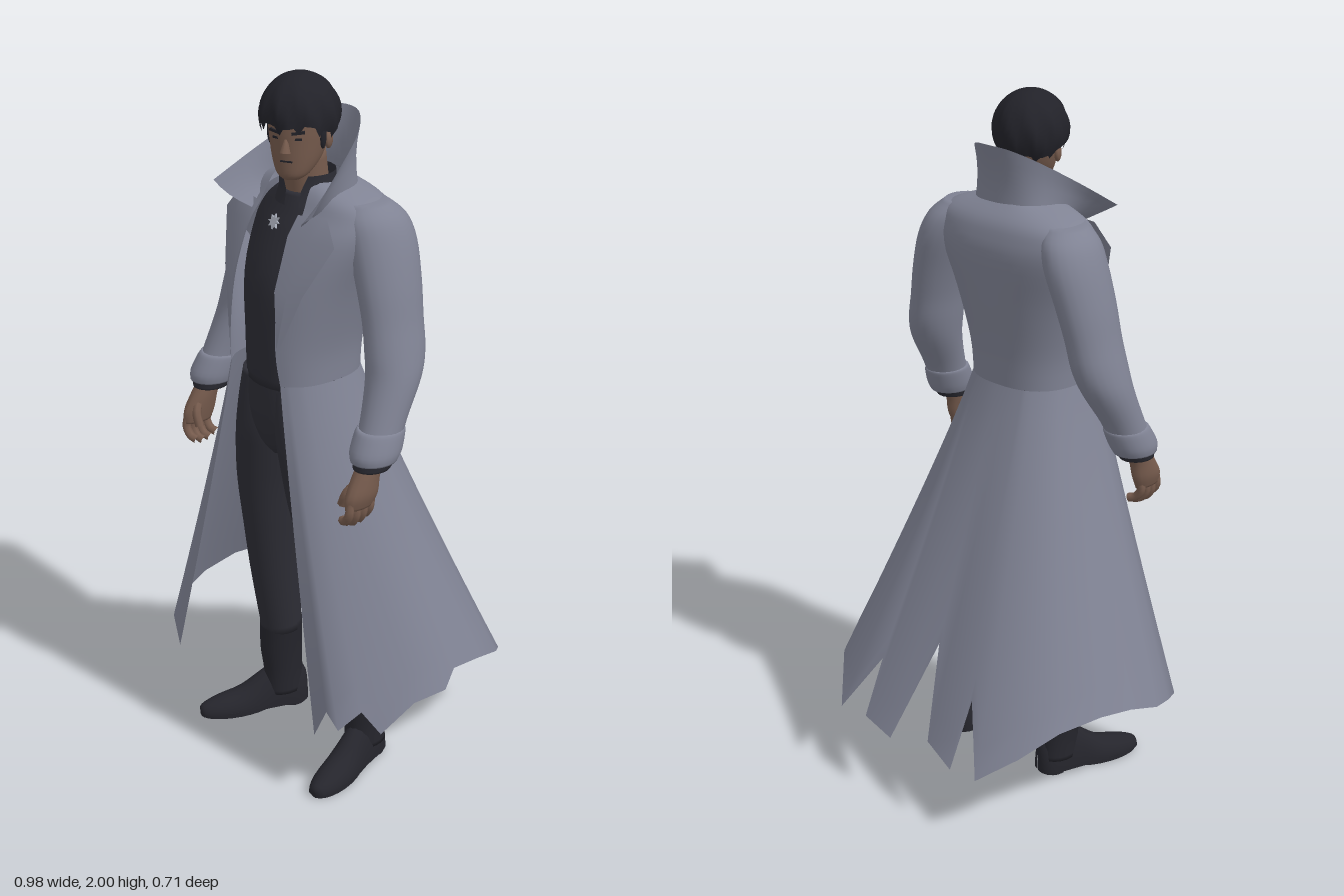
import * as THREE from 'three';

const material = (name, color, side = THREE.FrontSide) => {
  const m = new THREE.MeshStandardMaterial({ color, side });
  m.name = name;
  return m;
};
const V = (x, y, z) => new THREE.Vector3(x, y, z);
const CX = 0.02; // centre line of the upper body

// Catmull-Rom resampling of rows of numbers
function smooth(keys, steps) {
  const at = i => keys[Math.min(keys.length - 1, Math.max(0, i))];
  const out = [];
  for (let i = 0; i < keys.length - 1; i++) {
    for (let s = 0; s < steps; s++) {
      const t = s / steps;
      out.push(keys[i].map((_, k) => {
        const a = at(i - 1)[k], b = at(i)[k], c = at(i + 1)[k], d = at(i + 2)[k];
        return b + 0.5 * t * (c - a + t * (2 * a - 5 * b + 4 * c - d + t * (3 * (b - c) + d - a)));
      }));
    }
  }
  out.push(at(keys.length - 1));
  return out;
}

// Skin over rows of points; closed rows wrap around
function loft(rows, closed) {
  const n = rows[0].length, index = [];
  for (let r = 0; r < rows.length - 1; r++) {
    for (let i = 0; i < (closed ? n : n - 1); i++) {
      const j = (i + 1) % n, a = r * n + i, b = r * n + j;
      index.push(a, a + n, b, b, a + n, b + n);
    }
  }
  const g = new THREE.BufferGeometry().setFromPoints(rows.flat());
  g.setIndex(index);
  g.computeVertexNormals();
  return g;
}

// Rounded body from horizontal ellipses [x, y, z, rx, rz]
function limb(keys, segs = 20, steps = 4) {
  const rows = smooth([...keys].sort((a, b) => a[1] - b[1]), steps);
  const end = k => [k[0], k[1], k[2], 0.0005, 0.0005];
  const all = [end(rows[0]), ...rows, end(rows[rows.length - 1])];
  return loft(all.map(([x, y, z, rx, rz]) => Array.from({ length: segs }, (_, i) => {
    const a = i / segs * Math.PI * 2;
    return V(x + Math.max(rx, 0.0005) * Math.cos(a), y, z + Math.max(rz, 0.0005) * Math.sin(a));
  })), true);
}

export function createModel() {
  const model = new THREE.Group();
  const coatMat = material('coat grey', 0x808394, THREE.DoubleSide);
  const shirtMat = material('shirt charcoal', 0x2c2c34, THREE.DoubleSide);
  const trouserMat = material('trouser charcoal', 0x2e2e36);
  const bootMat = material('boot black', 0x25252c);
  const hairMat = material('hair black', 0x222229, THREE.DoubleSide);
  const skinMat = material('skin brown', 0x765b4d);
  const metalMat = material('silver', 0xa4a9b5);
  const add = (name, geo, mat, parent = model) => {
    const m = new THREE.Mesh(geo, mat);
    m.name = name;
    parent.add(m);
    return m;
  };

  // Coat body: open C-shaped rows [y, half width, back z, front z, half opening]
  const coatKeys = [
    [1.2, 0.165, 0.03, 0.35, 0.105], [1.3, 0.172, 0.022, 0.35, 0.095], [1.45, 0.205, -0.003, 0.328, 0.09],
    [1.58, 0.245, -0.022, 0.278, 0.09], [1.645, 0.245, -0.014, 0.235, 0.085],
    [1.685, 0.21, 0.005, 0.215, 0.08], [1.72, 0.1, 0.045, 0.2, 0.075]];
  const power = v => Math.sign(v) * Math.abs(v) ** 0.8;
  const coatPoint = ([y, w, zb, zf, open], u) => {
    const start = Math.asin((open / w) ** 1.25);
    const a = start + u * (Math.PI * 2 - 2 * start);
    return V(CX - w * power(Math.sin(a)), y, (zb + zf) / 2 + (zf - zb) / 2 * power(Math.cos(a)));
  };
  const body = smooth(coatKeys, 4).map(k => Array.from({ length: 41 }, (_, i) => coatPoint(k, i / 40)));
  add('coatBody', loft(body, false), coatMat);

  // Coat skirt: straight columns from the waist to a torn hem, right front round to left front
  const hem = [
    [-0.35, 0.2, 0.345], [-0.42, 0.26, 0.315], [-0.47, 0.3, 0.22], [-0.49, 0.32, 0.14], [-0.475, 0.35, 0.04],
    [-0.45, 0.36, -0.06], [-0.4, 0.34, -0.18], [-0.33, 0.27, -0.27], [-0.24, 0.2, -0.35],
    [-0.147, 0.38, -0.26], [-0.15, 0.2, -0.355], [-0.035, 0.23, -0.325], [0.02, 0.48, -0.215],
    [0.09, 0.2, -0.35], [0.205, 0.22, -0.335], [0.205, 0.38, -0.26], [0.295, 0.22, -0.345],
    [0.41, 0.31, -0.22], [0.46, 0.36, -0.1], [0.467, 0.37, 0], [0.487, 0.33, 0.05], [0.47, 0.32, 0.15],
    [0.435, 0.24, 0.24], [0.4, 0.31, 0.28], [0.37, 0.26, 0.338], [0.325, 0.3, 0.342], [0.285, 0.21, 0.352]];
  const angles = hem.map(([x, , z]) => (Math.atan2(-x, z - 0.1) + Math.PI * 2) % (Math.PI * 2));
  const first = angles[0], span = angles[angles.length - 1] - first;
  const skirt = [];
  for (let r = 0; r <= 12; r++) {
    const t = 1 - r / 12;
    skirt.push(hem.map(([x, y, z], i) => {
      const top = coatPoint(coatKeys[0], (angles[i] - first) / span);
      const out = t ** 1.08;
      return V(top.x + (x - top.x) * out, top.y + (y - top.y) * t, top.z + (z - top.z) * out);
    }));
  }
  add('coatSkirt', loft(skirt, false), coatMat);

  // Raised collar, mirrored from its right half
  const NX = 0.036;
  const mirrorRow = pts => [...pts, ...pts.slice(0, -1).reverse().map(([x, y, z]) => [2 * NX - x, y, z])];
  const collarTop = smooth(mirrorRow([[-0.165, 1.69, 0.31], [-0.125, 1.765, 0.2], [-0.08, 1.835, 0.09], [-0.025, 1.872, 0.03], [NX, 1.88, 0.012]]), 4);
  const collarBase = smooth(mirrorRow([[-0.065, 1.63, 0.262], [-0.09, 1.675, 0.19], [-0.085, 1.69, 0.1], [-0.045, 1.69, 0.055], [NX, 1.69, 0.04]]), 4);
  const collarRows = [0, 0.25, 0.5, 0.75, 1].map(t => collarBase.map((b, i) => {
    const p = V(...b).lerp(V(...collarTop[i]), t);
    p.z += 0.012 * Math.sin(t * Math.PI);
    return p;
  }));
  add('collar', loft(collarRows, false), coatMat);

  // Left and right parts
  for (const s of [1, -1]) {
    const side = s > 0 ? 'left' : 'right';
    const X = o => CX + s * o;

    // Lapel folded over the chest
    const inner = [[0.085, 1.65, 0.245], [0.082, 1.6, 0.278], [0.087, 1.46, 0.328], [0.098, 1.31, 0.333]];
    const middle = [[0.13, 1.655, 0.24], [0.155, 1.6, 0.268], [0.125, 1.46, 0.318], [0.101, 1.305, 0.334]];
    const outer = [[0.175, 1.66, 0.225], [0.222, 1.595, 0.24], [0.162, 1.46, 0.296], [0.105, 1.3, 0.332]];
    add(side + 'Lapel', loft([inner, middle, outer].map(row => row.map(([x, y, z]) => V(X(x), y, z))), false), coatMat);

    // Sleeve, cuff and torn lining
    add(side + 'Sleeve', limb([
      [X(0.345), 1.06, 0.205, 0.054, 0.064], [X(0.335), 1.14, 0.17, 0.057, 0.064], [X(0.318), 1.24, 0.122, 0.067, 0.078],
      [X(0.303), 1.31, 0.104, 0.068, 0.088], [X(0.285), 1.39, 0.096, 0.066, 0.09], [X(0.262), 1.48, 0.09, 0.07, 0.096],
      [X(0.23), 1.58, 0.085, 0.074, 0.1], [X(0.205), 1.645, 0.09, 0.07, 0.09], [X(0.18), 1.685, 0.1, 0.055, 0.06]], 22), coatMat);
    add(side + 'Cuff', limb([
      [X(0.347), 1.045, 0.212, 0.057, 0.066], [X(0.345), 1.07, 0.204, 0.062, 0.074],
      [X(0.338), 1.115, 0.184, 0.06, 0.071], [X(0.336), 1.125, 0.18, 0.055, 0.064]], 22), coatMat);
    add(side + 'CuffLining', limb([[X(0.347), 1.025, 0.22, 0.046, 0.052], [X(0.347), 1.05, 0.21, 0.053, 0.062]], 22), shirtMat);

    // Hand with curled fingers
    const hand = new THREE.Group();
    hand.name = side + 'Hand';
    model.add(hand);
    add('palm', limb([
      [X(0.35), 0.925, 0.266, 0.02, 0.045], [X(0.352), 0.96, 0.258, 0.028, 0.052],
      [X(0.349), 1.005, 0.242, 0.03, 0.042], [X(0.347), 1.05, 0.22, 0.029, 0.034]], 14), skinMat, hand);
    const finger = (name, pts, r) => add(name, new THREE.TubeGeometry(
      new THREE.CatmullRomCurve3(pts.map(p => V(X(p[0]), p[1], p[2]))), 8, r, 7), skinMat, hand);
    for (let i = 0; i < 4; i++) {
      const z = 0.23 + i * 0.023, drop = [0.012, 0.002, 0, 0.008][i];
      finger('finger', [[0.354, 0.945, z], [0.355, 0.905 + drop, z + 0.004], [0.338, 0.88 + drop, z + 0.002], [0.318, 0.874 + drop, z - 0.004]], 0.0125);
    }
    finger('thumb', [[0.345, 0.995, 0.262], [0.325, 0.96, 0.288], [0.31, 0.925, 0.29]], 0.013);

    // Trouser leg, with x at the hip, thigh, knee, shin and ankle
    const [hip, thigh, knee, shin, ankle] = s > 0
      ? [0.095, 0.115, 0.165, 0.198, 0.208] : [-0.078, -0.112, -0.135, -0.153, -0.162];
    add(side + 'TrouserLeg', limb([
      [shin, 0.27, 0.115, 0.054, 0.062], [(knee + shin) / 2, 0.4, 0.135, 0.06, 0.07], [knee, 0.52, 0.155, 0.065, 0.074],
      [(thigh + knee) / 2, 0.66, 0.17, 0.073, 0.084], [thigh, 0.8, 0.18, 0.084, 0.097], [(hip + thigh) / 2, 0.91, 0.184, 0.091, 0.108],
      [hip, 1.0, 0.185, 0.092, 0.117], [hip * 0.85, 1.09, 0.185, 0.085, 0.117], [hip * 0.7, 1.18, 0.185, 0.075, 0.112]]), trouserMat);

    // Boot: shaft, foot, sole and heel
    add(side + 'BootShaft', limb([
      [ankle, 0.05, 0.1, 0.05, 0.064], [ankle, 0.12, 0.104, 0.05, 0.062], [ankle, 0.2, 0.11, 0.055, 0.066], [shin, 0.3, 0.116, 0.057, 0.065]]), bootMat);
    const boot = new THREE.Group();
    boot.name = side + 'Boot';
    boot.position.set(ankle, 0, 0.1);
    boot.rotation.y = s * (s > 0 ? 0.3 : 0.36);
    model.add(boot);
    const shape = smooth([
      [0.265, 0.004, 0.012], [0.255, 0.026, 0.028], [0.205, 0.045, 0.046], [0.13, 0.051, 0.066],
      [0.06, 0.046, 0.115], [0, 0.046, 0.14], [-0.045, 0.042, 0.12], [-0.066, 0.024, 0.09], [-0.07, 0.004, 0.05]], 3);
    add('foot', loft(shape.map(([z, w, h]) => Array.from({ length: 18 }, (_, i) => {
      const a = i / 18 * Math.PI * 2;
      return V(w * Math.cos(a), 0.008 + Math.max(0, Math.sin(a)) * h, z);
    })), true), bootMat, boot);
    const sole = add('sole', new THREE.CylinderGeometry(0.05, 0.05, 0.016, 24), bootMat, boot);
    sole.position.set(0, 0.008, 0.15);
    sole.scale.z = 2.25;
    const heel = add('heel', new THREE.CylinderGeometry(0.043, 0.043, 0.024, 16), bootMat, boot);
    heel.position.set(0, 0.012, -0.022);
  }

  // Hips and shirt
  add('trouserHips', limb([[0.01, 0.945, 0.185, 0.03, 0.075], [0.01, 0.98, 0.185, 0.09, 0.1], [0.01, 1.05, 0.185, 0.14, 0.119],
    [0.012, 1.12, 0.185, 0.15, 0.124], [CX, 1.21, 0.185, 0.138, 0.122]], 28), trouserMat);
  add('shirt', limb([[CX, 1.165, 0.185, 0.146, 0.128], [CX, 1.3, 0.182, 0.148, 0.134], [CX, 1.45, 0.17, 0.165, 0.137],
    [CX, 1.58, 0.142, 0.165, 0.122], [CX, 1.64, 0.135, 0.14, 0.104], [0.028, 1.69, 0.14, 0.085, 0.08]], 28), shirtMat);

  // Shirt collar, open at the throat
  const collarRing = [[1.66, 0.086, 0.25], [1.7, 0.075, 0.3], [1.74, 0.074, 0.55]].map(([y, r, gap]) =>
    Array.from({ length: 25 }, (_, i) => {
      const a = 0.35 - gap - (Math.PI * 2 - 2 * gap) * i / 24;
      return V(0.035 + r * Math.sin(a), y, 0.155 + r * Math.cos(a));
    }));
  add('shirtCollar', loft(collarRing, false), shirtMat);

  // Small starburst pin on the chest
  const pinShape = new THREE.Shape(Array.from({ length: 16 }, (_, i) => {
    const a = i / 16 * Math.PI * 2, r = i % 2 ? 0.011 : 0.021;
    return new THREE.Vector2(r * Math.cos(a), r * Math.sin(a));
  }));
  const pin = add('chestPin', new THREE.ExtrudeGeometry(pinShape, { depth: 0.006, bevelEnabled: false }), metalMat);
  pin.position.set(0.018, 1.61, 0.252);
  pin.rotation.x = -0.4;

  // Neck and head, turned to the left
  add('neck', limb([[0.03, 1.66, 0.15, 0.058, 0.06], [0.036, 1.8, 0.17, 0.054, 0.06]]), skinMat);
  const head = new THREE.Group();
  head.name = 'head';
  head.position.set(0.038, 0, 0.182);
  head.rotation.y = 0.5;
  model.add(head);
  add('face', limb([[0, 1.738, 0.058, 0.025, 0.024], [0, 1.752, 0.045, 0.044, 0.045], [0, 1.785, 0.02, 0.062, 0.073],
    [0, 1.83, 0.005, 0.073, 0.09], [0, 1.87, 0, 0.078, 0.096], [0, 1.92, -0.005, 0.08, 0.098], [0, 1.965, -0.005, 0.055, 0.07]], 24), skinMat, head);
  const nose = add('nose', new THREE.ConeGeometry(0.015, 0.05, 8), skinMat, head);
  nose.position.set(0, 1.838, 0.094);
  nose.rotation.x = -0.22;
  const mouth = add('mouth', new THREE.BoxGeometry(0.032, 0.004, 0.008), hairMat, head);
  mouth.position.set(0, 1.79, 0.091);
  for (const s of [1, -1]) {
    const ear = add('ear', new THREE.SphereGeometry(0.022, 12, 8), skinMat, head);
    ear.scale.set(0.45, 1.1, 0.8);
    ear.position.set(s * 0.077, 1.83, -0.005);
    const sideburn = add('sideburn', new THREE.SphereGeometry(0.02, 10, 8), hairMat, head);
    sideburn.scale.set(0.4, 1.7, 0.7);
    sideburn.position.set(s * 0.072, 1.845, 0.022);
    const brow = add('eyebrow', new THREE.BoxGeometry(0.034, 0.007, 0.009), hairMat, head);
    brow.position.set(s * 0.031, 1.866, 0.087);
    brow.rotation.set(0, s * 0.35, s * 0.12);
    const eye = add('eye', new THREE.BoxGeometry(0.018, 0.006, 0.008), hairMat, head);
    eye.position.set(s * 0.03, 1.849, 0.084);
    eye.rotation.y = s * 0.35;
  }

  // Hair cap: low at the nape, ragged tufted fringe in front
  const hairRows = [];
  for (let r = 0; r <= 14; r++) {
    hairRows.push(Array.from({ length: 48 }, (_, i) => {
      const a = i / 48 * Math.PI * 2, front = Math.sin(a);
      const low = 1.93 - 0.24 * front + (i % 4 === 1 ? 0.14 : -0.05) + 0.06 * Math.sin(a * 5);
      const p = Math.max(0.001, low * (1 - r / 14));
      const k = 1 + 0.03 * Math.sin(a * 9 + p * 4) * Math.sin(p) ** 2;
      return V(0.104 * k * Math.sin(p) * Math.cos(a), 1.892 + 0.108 * Math.cos(p), 0.112 * k * Math.sin(p) * front);
    }));
  }
  add('hair', loft(hairRows, true), hairMat, head);

  return model;
}
